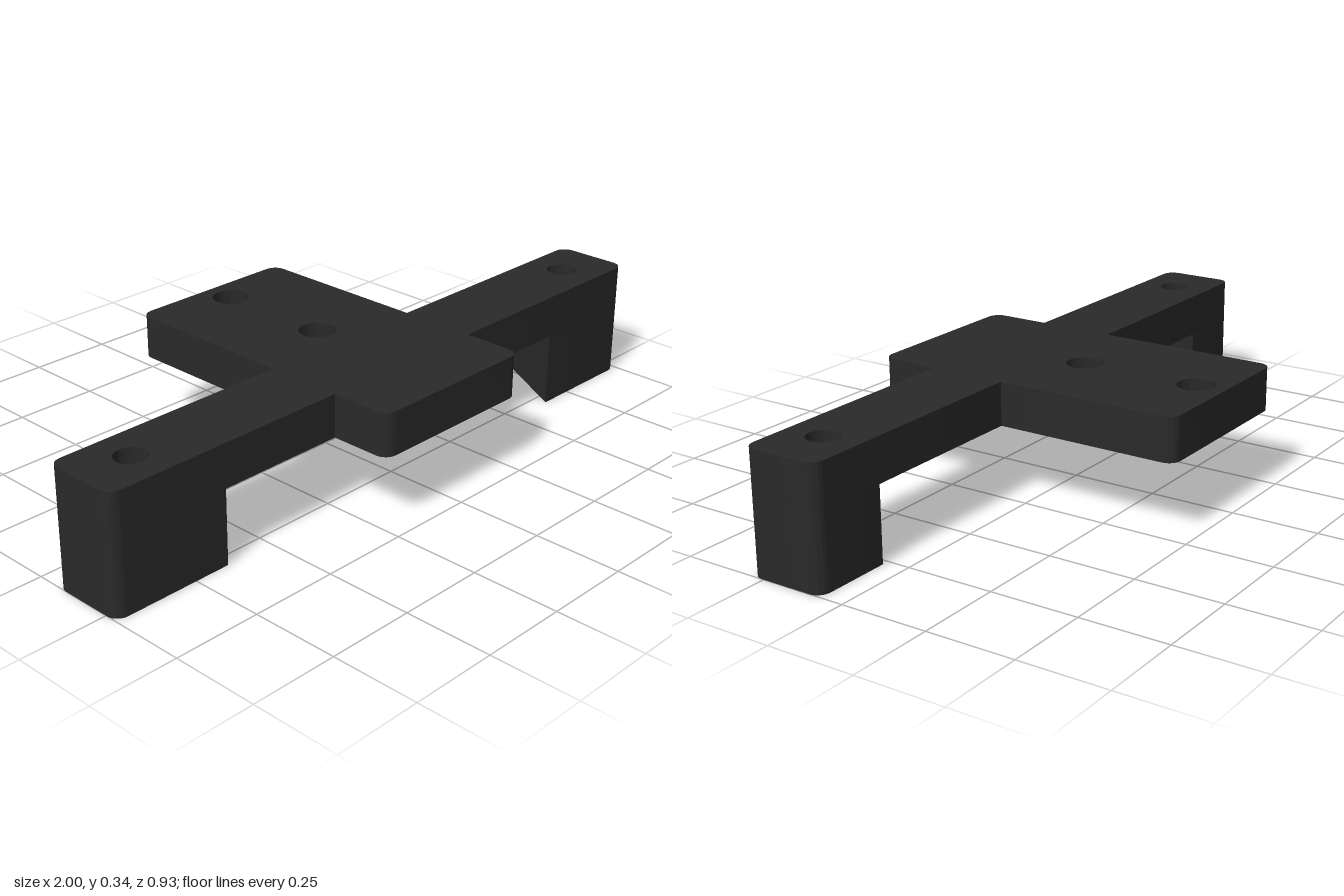
import * as THREE from 'three';
import { toCreasedNormals } from 'three/addons/utils/BufferGeometryUtils.js';

const TOP = 0.338, UNDERSIDE = 0.214;
const ARM_BACK = 0.066, ARM_FRONT = 0.289, ARM_MID = 0.177;
const PLATE_X = 0.264, PLATE_Z = 0.467, CORNER = 0.035;

// Plan outline from [x, z, cornerRadius] points; radius 0 keeps the corner sharp.
function outline(points) {
  const shape = new THREE.Shape();
  points.forEach(([x, z, r = 0], i) => {
    const p = new THREE.Vector2(x, z);
    const toward = (q) => new THREE.Vector2(q[0], q[1]).sub(p).setLength(r).add(p);
    const a = toward(points[(i + points.length - 1) % points.length]);
    const b = toward(points[(i + 1) % points.length]);
    if (i === 0) shape.moveTo(a.x, a.y);
    else shape.lineTo(a.x, a.y);
    if (r > 0) {
      // circular fillet of a right-angled corner
      const k = 0.5523;
      const c1 = a.clone().lerp(p, k), c2 = b.clone().lerp(p, k);
      shape.bezierCurveTo(c1.x, c1.y, c2.x, c2.y, b.x, b.y);
    }
  });
  shape.closePath();
  return shape;
}

function drill(shape, x, z, radius) {
  shape.holes.push(new THREE.Path().absarc(x, z, radius, 0, Math.PI * 2, true));
}

// Extrude a plan outline vertically between two heights.
function slab(name, shape, bottom, top, material) {
  const extruded = new THREE.ExtrudeGeometry(shape, {
    depth: top - bottom, bevelEnabled: false, curveSegments: 16,
  });
  extruded.rotateX(Math.PI / 2).translate(0, top, 0);
  const mesh = new THREE.Mesh(toCreasedNormals(extruded, Math.PI / 6), material);
  mesh.name = name;
  return mesh;
}

export function createModel() {
  const group = new THREE.Group();
  group.name = 'mountingBracket';
  const material = new THREE.MeshStandardMaterial({ color: 0x2a2a2a });

  // Cross-shaped plate: central pad with an arm on each side
  const half = [
    [PLATE_X, -PLATE_Z, CORNER],
    [PLATE_X, ARM_BACK],
    [1, ARM_BACK, CORNER],
    [1, ARM_FRONT, CORNER],
    [PLATE_X, ARM_FRONT],
    [PLATE_X, PLATE_Z, CORNER],
  ];
  const mirrored = half.map(([x, z, r]) => [-x, z, r]).reverse();
  const cross = outline([...half, ...mirrored]);
  for (const z of [-0.38, -0.03]) drill(cross, 0, z, 0.053);
  for (const side of [-1, 1]) drill(cross, side * 0.842, ARM_MID, 0.044);
  group.add(slab('crossPlate', cross, UNDERSIDE, TOP, material));

  // Feet under the arm ends, with a slanted inner face
  for (const side of [-1, 1]) {
    const foot = outline([
      [side * 0.77, ARM_BACK],
      [side, ARM_BACK, CORNER],
      [side, ARM_FRONT, CORNER],
      [side * 0.645, ARM_FRONT],
    ]);
    drill(foot, side * 0.842, ARM_MID, 0.044);
    group.add(slab(side > 0 ? 'leftFoot' : 'rightFoot', foot, 0, UNDERSIDE, material));
  }
  return group;
}
